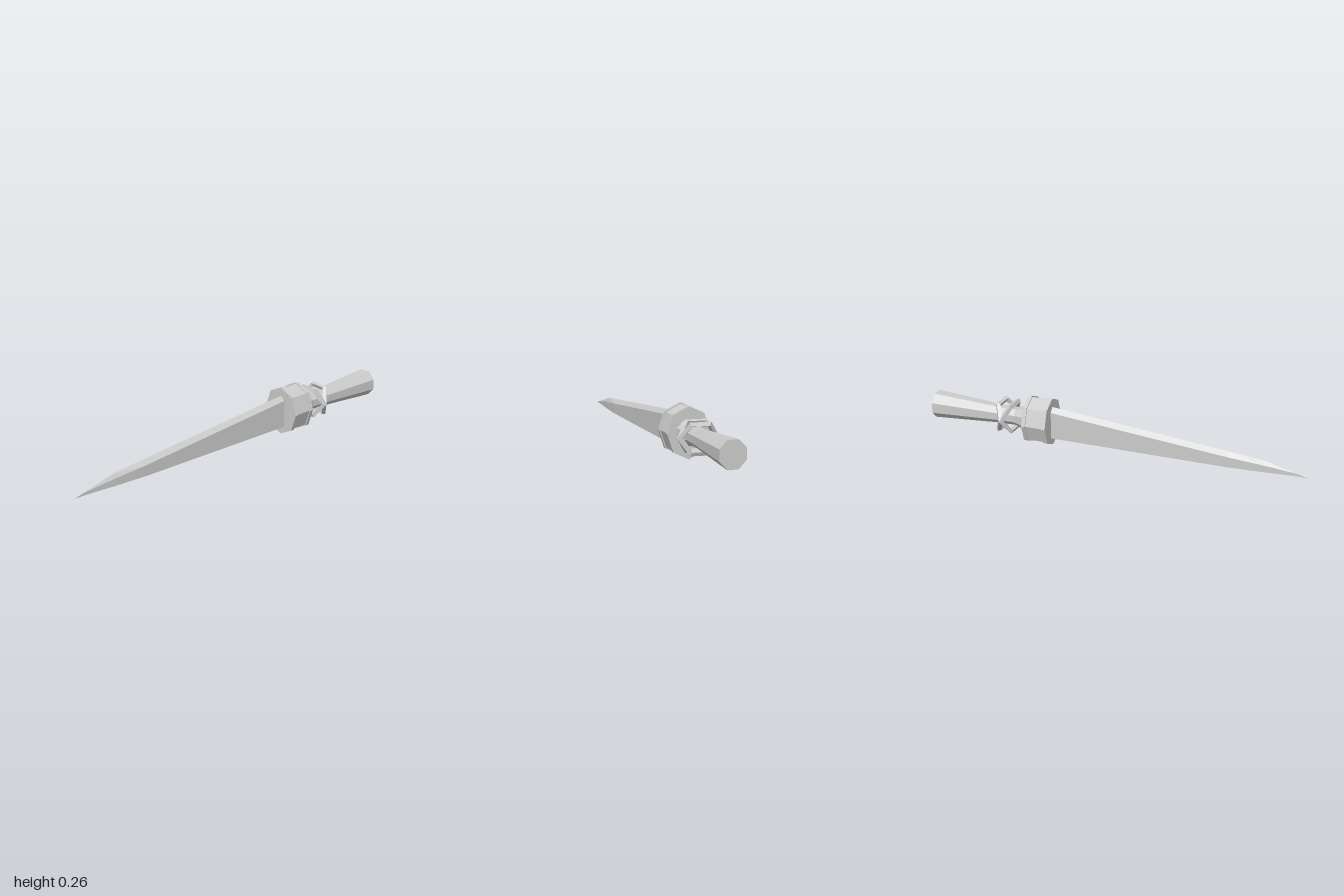
import * as THREE from 'three';

const AXIS_Y = 0.13;

export function createModel() {
  const model = new THREE.Group();
  const material = new THREE.MeshStandardMaterial({ color: 0xcccccc, flatShading: true });

  const add = (name, geometry, parent = model) => {
    const mesh = new THREE.Mesh(geometry, material);
    mesh.name = name;
    parent.add(mesh);
    return mesh;
  };

  // Eight-sided solid along z from [radius, z] pairs running back to front
  const octagonal = (profile, phase, sx, sy) =>
    new THREE.LatheGeometry(profile.map(([r, z]) => new THREE.Vector2(r, z)), 8, phase)
      .rotateX(Math.PI / 2)
      .scale(sx, sy, 1)
      .translate(0, AXIS_Y, 0);

  // Blade: pentagonal cross-sections [z, half width, shoulder y, ridge y]
  add('blade', bladeGeometry([
    [-0.36, 0.025, 0.192, 0.215],
    [0.6, 0.024, 0.1, 0.122],
    [0.77, 0.014, 0.083, 0.105],
    [0.94, 0, 0.06, 0.06],
    [1, 0, 0.045, 0.045],
  ], 0.045));

  // Guard: oval octagon with a shallow recess between two rims
  add('guard', octagonal([
    [0, -0.47], [1, -0.47], [1, -0.45], [0.95, -0.45],
    [0.95, -0.36], [1, -0.36], [1, -0.34], [0, -0.34],
  ], 0, 0.11, 0.129));

  // Handle: waisted grip, flaring at the pommel and at the guard
  add('handle', octagonal([
    [0, -1], [0.07, -1], [0.046, -0.62], [0.046, -0.54], [0.069, -0.46],
  ], Math.PI / 8, 1, 1.04));

  // Binding: two hexagonal loops crossing around the grip
  const binding = new THREE.Group();
  binding.name = 'binding';
  binding.position.set(0, AXIS_Y, -0.588);
  binding.rotation.y = -0.08;
  for (const side of [-1, 1]) {
    const loop = add('bindingLoop', new THREE.TorusGeometry(0.088, 0.015, 4, 6), binding);
    loop.rotation.x = side * 0.47;
  }
  model.add(binding);

  return model;
}

// Joins consecutive pentagon sections, leaving out collapsed triangles
function bladeGeometry(sections, bottom) {
  const loops = sections.map(([z, w, shoulder, ridge]) => [
    [-w, bottom], [w, bottom], [w, shoulder], [0, ridge], [-w, shoulder],
  ].map(([x, y]) => new THREE.Vector3(x, y, z)));
  const points = [];
  const triangle = (a, b, c) => {
    if (new THREE.Triangle(a, b, c).getArea() > 1e-7) points.push(a, b, c);
  };
  for (let k = 0; k < loops.length - 1; k++) {
    const [back, front] = [loops[k], loops[k + 1]];
    for (let i = 0; i < 5; i++) {
      const j = (i + 1) % 5;
      triangle(back[i], back[j], front[j]);
      triangle(back[i], front[j], front[i]);
    }
  }
  const geometry = new THREE.BufferGeometry().setFromPoints(points);
  geometry.computeVertexNormals();
  return geometry;
}
